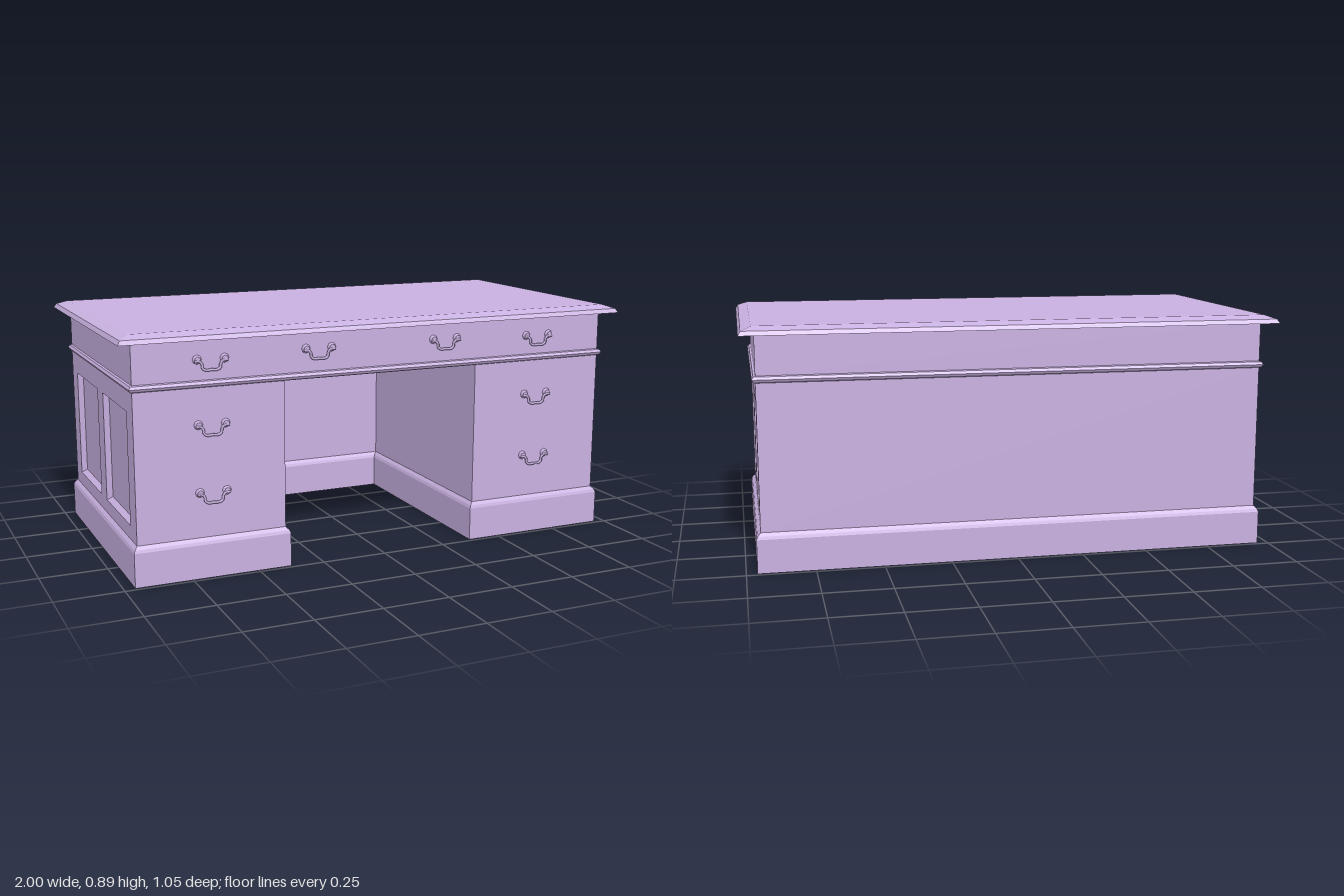
import * as THREE from 'three';

const material = new THREE.MeshStandardMaterial({ color: 0xc8b0e0, side: THREE.DoubleSide });

// Sweeps a profile of [outward offset, height] round a right-angled outline of [x, z]
function sweep(outline, profile, skip = []) {
  const n = outline.length;
  const normals = outline.map(([x, z], i) => {
    const [bx, bz] = outline[(i + 1) % n];
    return [-Math.sign(bz - z), Math.sign(bx - x)];
  });
  const point = (i, [offset, y]) => {
    const k = i % n, a = normals[k], b = normals[(k + n - 1) % n];
    return [outline[k][0] + offset * (a[0] + b[0]), y, outline[k][1] + offset * (a[1] + b[1])];
  };
  const positions = [];
  for (let i = 0; i < n; i++) {
    if (skip.includes(i)) continue;
    for (let j = 0; j < profile.length - 1; j++) {
      const a = point(i, profile[j]), b = point(i + 1, profile[j]);
      const c = point(i + 1, profile[j + 1]), d = point(i, profile[j + 1]);
      positions.push(...a, ...b, ...c, ...a, ...c, ...d);
    }
  }
  const geometry = new THREE.BufferGeometry();
  geometry.setAttribute('position', new THREE.Float32BufferAttribute(positions, 3));
  geometry.computeVertexNormals();
  return geometry;
}

const rect = (w, d) => [[-w, d], [w, d], [w, -d], [-w, -d]];

function add(parent, name, geometry, x = 0, y = 0, z = 0) {
  const mesh = new THREE.Mesh(geometry, material);
  mesh.name = name;
  mesh.position.set(x, y, z);
  parent.add(mesh);
  return mesh;
}

const W = 0.945, D = 0.472, KNEE = 0.39, KNEE_BACK = -0.39;
const BASE = 0.148, CEILING = 0.69;

// Side wall with two bevelled, sunken panels; built facing +z
function createSide() {
  const side = new THREE.Group();
  const hw = 0.172, hh = 0.206, cy = 0.405, bevel = 0.014, depth = 0.02;
  const wall = new THREE.Shape();
  wall.moveTo(-D, BASE).lineTo(D, BASE).lineTo(D, CEILING).lineTo(-D, CEILING).closePath();
  for (const cx of [-0.215, 0.215]) {
    const hole = new THREE.Path();
    hole.moveTo(cx - hw, cy - hh).lineTo(cx - hw, cy + hh).lineTo(cx + hw, cy + hh).lineTo(cx + hw, cy - hh).closePath();
    wall.holes.push(hole);
    const frame = sweep(rect(hw, hh), [[0, 0], [-bevel, -depth]]).rotateX(Math.PI / 2);
    add(side, 'panelBevel', frame, cx, cy, 0);
    add(side, 'panelField', new THREE.PlaneGeometry(2 * (hw - bevel), 2 * (hh - bevel)), cx, cy, -depth);
  }
  add(side, 'sideWall', new THREE.ShapeGeometry(wall));
  return side;
}

// Drop handle: two rosettes and a curved bail
function createHandle() {
  const handle = new THREE.Group();
  handle.name = 'drawerHandle';
  for (const s of [-1, 1]) {
    const rosette = new THREE.CylinderGeometry(0.011, 0.017, 0.01, 8).rotateX(Math.PI / 2);
    add(handle, 'rosette', rosette, s * 0.05, 0.013, 0.005);
  }
  const path = new THREE.CatmullRomCurve3(
    [[-0.062, 0.008], [-0.045, 0.008], [-0.034, -0.004], [-0.032, -0.018], [-0.02, -0.025], [0, -0.024],
      [0.02, -0.025], [0.032, -0.018], [0.034, -0.004], [0.045, 0.008], [0.062, 0.008]]
      .map(([x, y]) => new THREE.Vector3(x, y, 0.007)));
  add(handle, 'bail', new THREE.TubeGeometry(path, 32, 0.005, 6));
  return handle;
}

export function createModel() {
  const desk = new THREE.Group();
  desk.name = 'pedestalDesk';

  // Hollow U-shaped carcass, open underneath
  const outline = [[-W, D], [-KNEE, D], [-KNEE, KNEE_BACK], [KNEE, KNEE_BACK], [KNEE, D], [W, D], [W, -D], [-W, -D]];
  add(desk, 'plinth', sweep(outline, [[0.015, 0], [0.015, 0.125], [0.011, 0.136], [0, BASE]]));
  add(desk, 'pedestalWalls', sweep(outline, [[0, BASE], [0, CEILING]], [5, 7]));
  for (const s of [-1, 1]) {
    const side = createSide();
    side.name = s > 0 ? 'leftSide' : 'rightSide';
    side.position.x = s * W;
    side.rotation.y = s * Math.PI / 2;
    desk.add(side);
  }

  // Drawer band, bead and underside above the knee space
  add(desk, 'kneeCeiling', new THREE.PlaneGeometry(2 * W, 2 * D).rotateX(Math.PI / 2), 0, CEILING, 0);
  add(desk, 'beadMoulding', sweep(rect(W, D),
    [[0, CEILING], [0.007, 0.693], [0.013, 0.703], [0.007, 0.713], [0, 0.716]]));
  add(desk, 'drawerBand', sweep(rect(W, D), [[0, 0.716], [0, 0.863]]));

  // Worktop with moulded edge
  add(desk, 'worktopEdge', sweep(rect(1, 0.526), [[-0.5, 0.863], [0, 0.863], [-0.009, 0.879], [-0.046, 0.893]]));
  add(desk, 'worktop', new THREE.PlaneGeometry(1.908, 0.96).rotateX(-Math.PI / 2), 0, 0.893, 0);

  // Handles
  for (const s of [-1, 1]) {
    for (const [x, y] of [[0.663, 0.776], [0.663, 0.545], [0.663, 0.3], [0.257, 0.787]]) {
      const handle = createHandle();
      handle.position.set(s * x, y, D);
      desk.add(handle);
    }
  }
  return desk;
}
